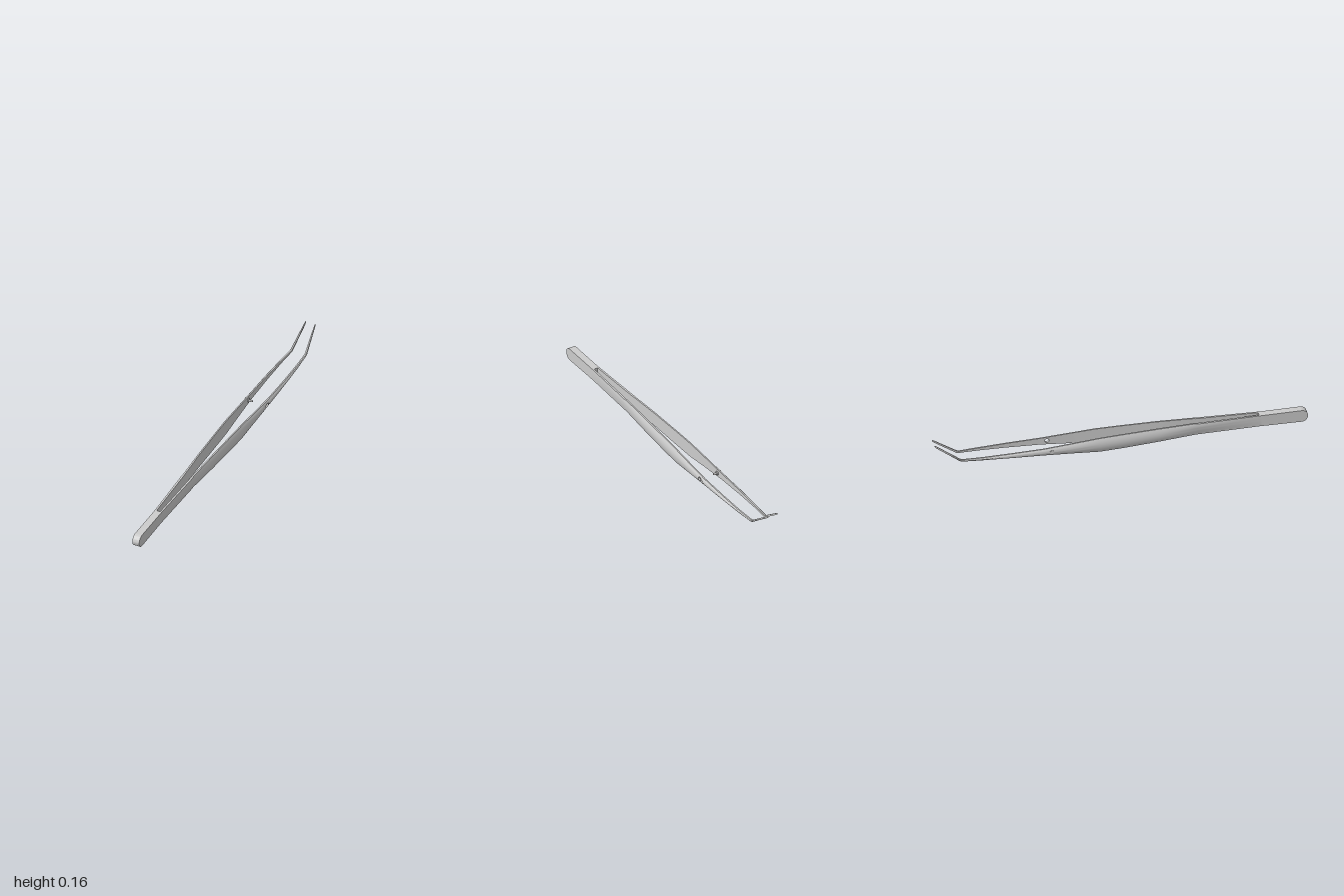
import * as THREE from 'three';
import { toCreasedNormals } from 'three/addons/utils/BufferGeometryUtils.js';

const metal = new THREE.MeshStandardMaterial({ color: 0xcccccc });
const ARC = 8; // segments across the domed outer face

// Arm stations from root to tip: z, bottom, top, inner x, outer x, dome depth
const STATIONS = [
  [0.75, 0.008, 0.073, 0.010, 0.020, 0],
  [0.405, 0.018, 0.082, 0.020, 0.034, 0.003],
  [0.40, 0.017, 0.084, 0.020, 0.037, 0.008],
  [0.20, 0.010, 0.088, 0.030, 0.048, 0.010],
  [0.00, 0.005, 0.088, 0.038, 0.056, 0.011],
  [-0.12, 0.005, 0.087, 0.042, 0.060, 0.011],
  [-0.25, 0.018, 0.080, 0.045, 0.063, 0.011],
  [-0.42, 0.033, 0.071, 0.048, 0.064, 0.009],
  [-0.60, 0.044, 0.069, 0.047, 0.0615, 0.007],
  [-0.75, 0.052, 0.067, 0.043, 0.056, 0.005],
  [-0.855, 0.057, 0.067, 0.037, 0.049, 0.004],
  [-0.868, 0.061, 0.073, 0.036, 0.048, 0.004],
  [-0.99, 0.151, 0.162, 0.026, 0.032, 0.002],
  [-1.00, 0.161, 0.166, 0.026, 0.030, 0.001],
];
const HOLE = { z: -0.38, y: 0.0515, r: 0.012, from: -0.34, to: -0.42 };

// Interpolated station at any z
function stationAt(z) {
  for (let i = 1; i < STATIONS.length; i++) {
    const a = STATIONS[i - 1], b = STATIONS[i];
    if (z >= b[0]) {
      const k = (z - a[0]) / (b[0] - a[0]);
      return a.map((v, n) => v + (b[n] - v) * k);
    }
  }
  return STATIONS[STATIONS.length - 1];
}

// Outer surface x at height y of a station
function outerX([, lo, hi, , out, dome], y) {
  const t = (2 * y - lo - hi) / (hi - lo);
  return out - dome * t * t;
}

// Heights across the dome, bottom to top
function heights([, lo, hi]) {
  return Array.from({ length: ARC + 1 }, (_, j) => lo + (hi - lo) * j / ARC);
}

// Lofts D-shaped sections between two z values; side is +1 or -1
function loftArm(zStart, zEnd, side) {
  const inside = STATIONS.filter((s) => s[0] < zStart && s[0] > zEnd);
  const rows = [stationAt(zStart), ...inside, stationAt(zEnd)];
  const n = ARC + 3, pos = [], idx = [];
  const tri = (a, b, c) => (side > 0 ? idx.push(a, b, c) : idx.push(a, c, b));
  for (const s of rows) {
    const [z, lo, hi, inner] = s;
    pos.push(side * inner, lo, z);
    for (const y of heights(s)) pos.push(side * outerX(s, y), y, z);
    pos.push(side * inner, hi, z);
  }
  for (let i = 0; i < rows.length - 1; i++) {
    for (let j = 0; j < n; j++) {
      const a = i * n + j, b = i * n + (j + 1) % n;
      tri(a, a + n, b);
      tri(b, a + n, b + n);
    }
  }
  const last = (rows.length - 1) * n;
  for (let j = 1; j < n - 1; j++) {
    tri(0, j, j + 1);
    tri(last, last + j + 1, last + j);
  }
  const g = new THREE.BufferGeometry();
  g.setAttribute('position', new THREE.Float32BufferAttribute(pos, 3));
  g.setIndex(idx);
  return toCreasedNormals(g, 0.55);
}

// Short stretch of arm with a round through hole, fitted to the arm surface
function holedSection() {
  const a = stationAt(HOLE.from), b = stationAt(HOLE.to);
  const outline = [
    ...heights(b).map((y) => new THREE.Vector2(-HOLE.to, y)),
    ...heights(a).reverse().map((y) => new THREE.Vector2(-HOLE.from, y)),
  ];
  const shape = new THREE.Shape(outline);
  shape.holes.push(new THREE.Path().absarc(-HOLE.z, HOLE.y, HOLE.r, 0, Math.PI * 2, true));
  const g = new THREE.ExtrudeGeometry(shape, { depth: 1, bevelEnabled: false, curveSegments: 20 });
  const p = g.attributes.position;
  for (let i = 0; i < p.count; i++) {
    const z = -p.getX(i), y = p.getY(i), s = stationAt(z);
    p.setXYZ(i, s[3] + p.getZ(i) * (outerX(s, y) - s[3]), y, z);
  }
  return toCreasedNormals(g, 0.55);
}

function addMesh(parent, name, geometry) {
  const mesh = new THREE.Mesh(geometry, metal);
  mesh.name = name;
  parent.add(mesh);
  return mesh;
}

export function createModel() {
  const model = new THREE.Group();
  model.name = 'tweezers';

  // Solid joined end with a rounded profile
  const end = new THREE.Shape();
  end.moveTo(-0.74, 0.008);
  end.lineTo(-0.965, 0.001);
  end.bezierCurveTo(-0.985, 0, -1, 0.018, -1, 0.036);
  end.bezierCurveTo(-1, 0.054, -0.985, 0.07, -0.965, 0.07);
  end.lineTo(-0.74, 0.073);
  const endGeo = new THREE.ExtrudeGeometry(end, { depth: 0.04, bevelEnabled: false, curveSegments: 8 });
  endGeo.translate(0, 0, -0.02).rotateY(Math.PI / 2);
  addMesh(model, 'joinedEnd', toCreasedNormals(endGeo, 0.55));

  // Left arm, with the guide hole
  const leftArm = new THREE.Group();
  leftArm.name = 'leftArm';
  addMesh(leftArm, 'leftGrip', loftArm(0.75, HOLE.from, 1));
  addMesh(leftArm, 'guideHole', holedSection());
  addMesh(leftArm, 'leftTip', loftArm(HOLE.to, -1, 1));
  model.add(leftArm);

  // Right arm, with the guide pin pointing inward
  const rightArm = new THREE.Group();
  rightArm.name = 'rightArm';
  addMesh(rightArm, 'rightBlade', loftArm(0.75, -1, -1));
  const profile = [[0, 0], [0.011, 0], [0.011, 0.023], [0.006, 0.025], [0.006, 0.038], [0.003, 0.043], [0, 0.043]];
  const pin = new THREE.LatheGeometry(profile.map(([r, h]) => new THREE.Vector2(r, h)), 20);
  pin.rotateZ(-Math.PI / 2).translate(-0.0645, HOLE.y, HOLE.z);
  addMesh(rightArm, 'guidePin', toCreasedNormals(pin, 0.55));
  model.add(rightArm);

  return model;
}
